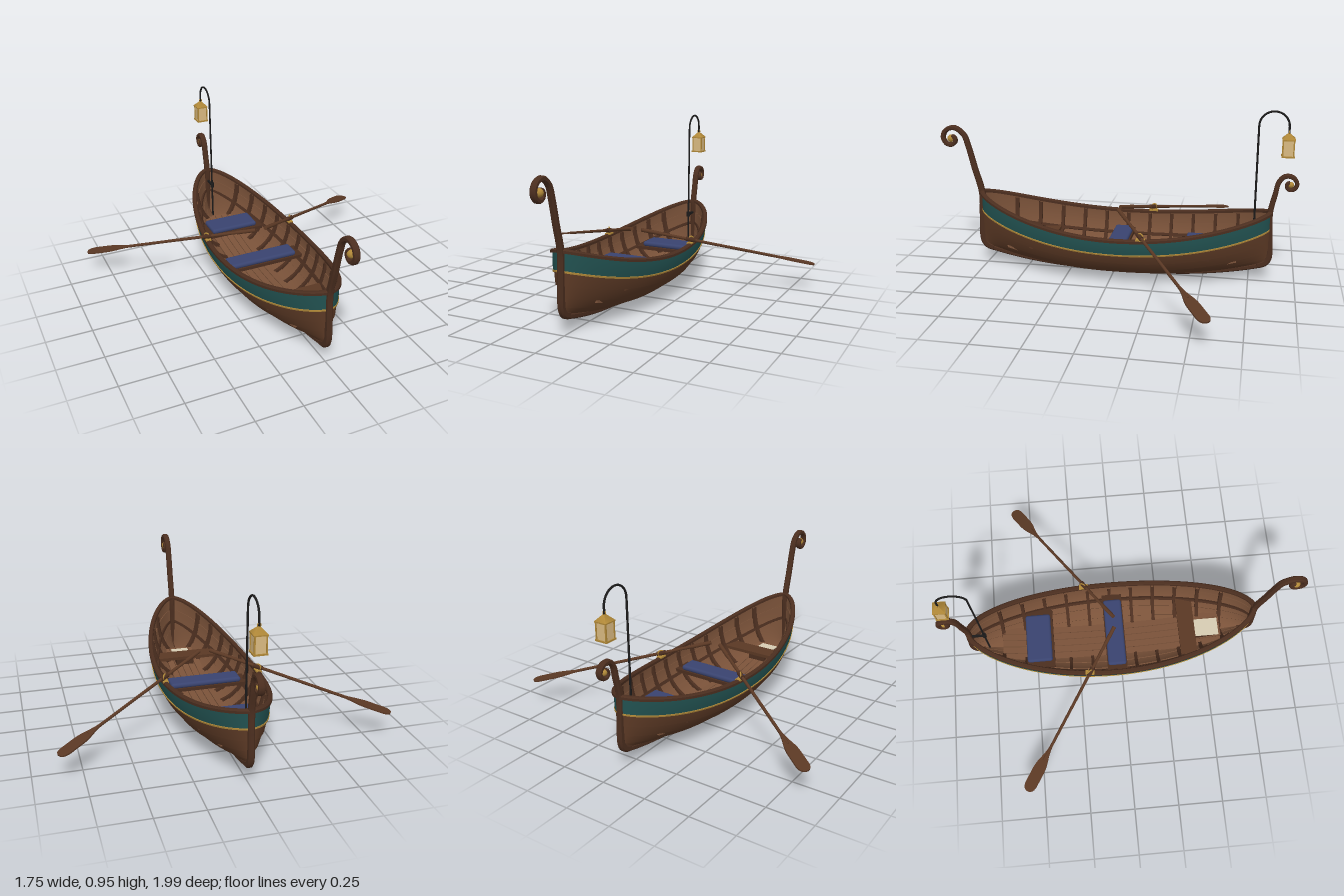
import * as THREE from 'three';
import { toCreasedNormals } from 'three/addons/utils/BufferGeometryUtils.js';
import { RoundedBoxGeometry } from 'three/addons/geometries/RoundedBoxGeometry.js';

const mat = (name, color, side = THREE.DoubleSide) => {
  const m = new THREE.MeshStandardMaterial({ color, side });
  m.name = name;
  return m;
};

// Hull rules: t runs -1 (stern) to 1 (bow), a is the girth angle from keel (0) to rail (PI/2)
const HALF = Math.PI / 2, BAND = 1.245, BEAM = 0.268;
const zAt = t => -0.045 + 0.81 * t;
const tAt = z => (z + 0.045) / 0.81;
const beam = t => BEAM * Math.pow(Math.max(0, 1 - t * t), 0.6);
const keelY = t => 0.028 + 0.09 * Math.pow(Math.abs(t), 2.5);
const sheerY = t => 0.275 + (t > 0 ? 0.15 : 0.12) * t * t;
function hullPoint(t, a, off, side) {
  const q = 0.9 + 0.6 * Math.pow(Math.abs(t), 3);
  const x = Math.max(0, beam(t) * Math.pow(Math.sin(a), q) + off * Math.sin(a));
  const y = keelY(t) + (sheerY(t) - keelY(t)) * (1 - Math.cos(a)) - off * Math.cos(a);
  return [side * x, y, zAt(t)];
}

// Surface through a grid of points; faces look along (v direction) x (u direction)
function grid(nu, nv, fn, flip = false, crease = 0.6) {
  const pos = [], idx = [];
  for (let i = 0; i <= nu; i++) for (let j = 0; j <= nv; j++) pos.push(...fn(i, j));
  for (let i = 0; i < nu; i++) for (let j = 0; j < nv; j++) {
    const p = i * (nv + 1) + j, u = p + nv + 1;
    if (flip) idx.push(p, u, p + 1, p + 1, u, u + 1);
    else idx.push(p, p + 1, u, p + 1, u + 1, u);
  }
  const g = new THREE.BufferGeometry();
  g.setAttribute('position', new THREE.Float32BufferAttribute(pos, 3));
  g.setIndex(idx);
  return toCreasedNormals(g, crease);
}

// Chamfered bar swept along a path in the x = 0 plane; points are [z, y]
function sweep(points, halfW, r0, r1, n) {
  const curve = new THREE.CatmullRomCurve3(points.map(([z, y]) => new THREE.Vector3(0, y, z)), false, 'centripetal');
  const sec = [[1, 0.55], [0.55, 1], [-0.55, 1], [-1, 0.55], [-1, -0.55], [-0.55, -1], [0.55, -1], [1, -0.55], [1, 0.55]];
  return grid(n, 8, (i, j) => {
    const u = i / n, p = curve.getPointAt(u), d = curve.getTangentAt(u);
    const end = i === 0 || i === n ? 0.01 : 1;
    const r = (r0 + (r1 - r0) * u) * end, s = sec[j];
    return [s[0] * halfW * end, p.y + d.z * s[1] * r, p.z - d.y * s[1] * r];
  });
}

export function createModel() {
  const root = new THREE.Group();
  root.name = 'rowingBoat';
  const M = {
    hull: mat('dark hull wood', 0x5a3824),
    inner: mat('inner wood', 0x7a5239),
    trim: mat('trim wood', 0x4b2e1f),
    teal: mat('teal paint', 0x21504f),
    gold: mat('brass', 0xb08838),
    navy: mat('navy cloth', 0x39436f),
    iron: mat('black iron', 0x1b1a1a),
    cream: mat('parchment', 0xd6ccb2),
    glass: mat('lantern glass', 0xd9b981),
  };
  const add = (name, geo, m, x = 0, y = 0, z = 0, parent = root) => {
    const mesh = new THREE.Mesh(geo, m);
    mesh.name = name;
    mesh.position.set(x, y, z);
    parent.add(mesh);
    return mesh;
  };
  const box = (name, w, h, d, m, x, y, z, parent) => add(name, new THREE.BoxGeometry(w, h, d), m, x, y, z, parent);

  const N = 56;
  const tStep = i => Math.sin((i / N * 2 - 1) * HALF);
  for (const s of [1, -1]) {
    const flip = s < 0;
    // Overlapping planks, outside and inside
    const plank = (name, a0, a1, base, lap, m, inside) => add(name, grid(N, 6, (i, j) => {
      const f = j === 0 ? 0 : (j - 1) / 5;
      const off = j === 0 ? base : base + lap * (1 - f);
      return hullPoint(tStep(i), a0 + (a1 - a0) * f, off, s);
    }, inside ? !flip : flip), m);
    for (let k = 0; k < 5; k++)
      plank('hullPlank', BAND * k / 5, BAND * (k + 1) / 5, 0, 0.007, M.hull, false);
    plank('paintedTopPlank', BAND, HALF, 0, 0.006, M.teal, false);
    for (let k = 0; k < 6; k++)
      plank('innerPlank', HALF * k / 6, HALF * (k + 1) / 6, -0.012, 0.005, M.inner, true);

    // Long strips that follow the hull: brass line and inner seat rail
    const strip = (name, a, o0, o1, w, m) => add(name, grid(N, 4, (i, j) => {
      const c = [[-1, o0], [-1, o1], [1, o1], [1, o0], [-1, o0]][j];
      return hullPoint(tStep(i), a + c[0] * w, c[1], s);
    }, flip), m);
    strip('brassLine', BAND, 0.002, 0.010, 0.016, M.gold);
    strip('seatRail', 1.02, -0.006, -0.022, 0.035, M.trim);

    // Rail along the top edge
    add('gunwale', grid(N, 6, (i, j) => {
      const c = [[1, -0.6], [1, 0.5], [0.5, 1], [-0.6, 1], [-1, 0.5], [-1, -0.6], [1, -0.6]][j];
      const t = tStep(i), nx = Math.sqrt(1 - t * t) / BEAM, nz = t / 0.81, l = Math.hypot(nx, nz);
      const o = c[0] * 0.013 - 0.002;
      return [s * Math.max(0, beam(t) + o * nx / l), sheerY(t) + c[1] * 0.012, zAt(t) + o * nz / l];
    }, flip), M.trim);

    // Ribs
    for (let k = 0; k < 11; k++) {
      const z = -0.68 + k * 0.128;
      add('rib', grid(14, 3, (i, j) => {
        const t = tAt(z + (j < 2 ? -0.009 : 0.009));
        return hullPoint(t, 0.12 + (HALF - 0.15) * i / 14, j === 0 || j === 3 ? -0.006 : -0.025, s);
      }, flip), M.trim);
    }
  }

  // Keel, bow and stern posts with scrolls
  const keel = [];
  for (let k = 0; k <= 20; k++) {
    const t = (k / 10 - 1) * 0.98;
    keel.push([zAt(t), keelY(t) - 0.014]);
  }
  add('keel', sweep(keel, 0.013, 0.014, 0.014, 50), M.trim);
  add('bowPost', sweep([[0.70, 0.092], [0.745, 0.108], [0.766, 0.14], [0.768, 0.28], [0.767, 0.42], [0.803, 0.56],
    [0.836, 0.69], [0.86, 0.755], [0.915, 0.792], [0.965, 0.775], [0.982, 0.735], [0.966, 0.702],
    [0.935, 0.693], [0.912, 0.712], [0.918, 0.738], [0.938, 0.742]], 0.016, 0.020, 0.011, 110), M.trim);
  add('sternPost', sweep([[-0.79, 0.092], [-0.835, 0.108], [-0.855, 0.14], [-0.855, 0.28], [-0.852, 0.40], [-0.872, 0.50],
    [-0.888, 0.57], [-0.918, 0.602], [-0.957, 0.60], [-0.982, 0.568], [-0.972, 0.538],
    [-0.946, 0.53], [-0.928, 0.548], [-0.936, 0.566], [-0.95, 0.568]], 0.016, 0.019, 0.009, 100), M.trim);
  add('bowScrollBall', new THREE.SphereGeometry(0.021, 16, 12), M.gold, 0, 0.73, 0.936);
  add('sternScrollBall', new THREE.SphereGeometry(0.016, 16, 12), M.gold, 0, 0.558, -0.95);

  // Floor boards bent along the keel line
  for (let k = -2; k <= 2; k++) {
    const g = new THREE.BoxGeometry(0.036, 0.012, 1.28, 1, 1, 24), p = g.attributes.position;
    for (let i = 0; i < p.count; i++) {
      const z = p.getZ(i) - 0.045, t = tAt(z);
      p.setXYZ(i, p.getX(i) + k * 0.04, p.getY(i) + keelY(t) + 0.032 + 0.05 * t * t, z);
    }
    g.computeVertexNormals();
    add('floorBoard', toCreasedNormals(g, 0.6), M.inner);
  }

  // Seats and cushions
  box('backSeat', 0.35, 0.018, 0.16, M.trim, 0, 0.172, -0.465);
  box('middleSeat', 0.49, 0.018, 0.115, M.trim, 0, 0.172, -0.027);
  box('frontSeat', 0.355, 0.018, 0.095, M.hull, 0, 0.178, 0.395);
  add('backCushion', new RoundedBoxGeometry(0.285, 0.03, 0.145, 3, 0.014), M.navy, 0, 0.194, -0.47);
  add('middleCushion', new RoundedBoxGeometry(0.40, 0.03, 0.105, 3, 0.014), M.navy, 0, 0.194, -0.027);

  // Small chest with a parchment under the front seat
  box('chest', 0.105, 0.035, 0.18, M.trim, 0, 0.122, 0.51);
  box('parchment', 0.104, 0.004, 0.15, M.cream, 0, 0.143, 0.51);

  // Oars and oarlocks
  const blade = new THREE.Shape();
  blade.moveTo(0.76, 0.008);
  blade.bezierCurveTo(0.82, 0.012, 0.84, 0.032, 0.90, 0.034);
  blade.lineTo(0.99, 0.034);
  blade.quadraticCurveTo(1.03, 0.030, 1.03, 0);
  blade.quadraticCurveTo(1.03, -0.030, 0.99, -0.034);
  blade.lineTo(0.90, -0.034);
  blade.bezierCurveTo(0.84, -0.032, 0.82, -0.012, 0.76, -0.008);
  const bladeGeo = new THREE.ExtrudeGeometry(blade, { depth: 0.008, bevelEnabled: false, curveSegments: 8 });
  bladeGeo.translate(0, 0, -0.004).rotateX(HALF);
  for (const s of [1, -1]) {
    const oar = new THREE.Group();
    oar.name = s > 0 ? 'leftOar' : 'rightOar';
    const dir = new THREE.Vector3(s * 0.835, -0.228, -0.555).normalize();
    const side = new THREE.Vector3().crossVectors(dir, new THREE.Vector3(0, 1, 0)).normalize();
    const up = new THREE.Vector3().crossVectors(side, dir);
    oar.quaternion.setFromRotationMatrix(new THREE.Matrix4().makeBasis(dir, up, side));
    oar.position.set(s * 0.03, 0.372, -0.03);
    root.add(oar);
    add('shaft', new THREE.CylinderGeometry(0.008, 0.009, 0.84, 12).rotateZ(-HALF), M.hull, 0.42, 0, 0, oar);
    add('grip', new THREE.CylinderGeometry(0.011, 0.011, 0.11, 12).rotateZ(-HALF), M.hull, 0.055, 0, 0, oar);
    add('collar', new THREE.CylinderGeometry(0.013, 0.013, 0.05, 12).rotateZ(-HALF), M.trim, 0.285, 0, 0, oar);
    add('blade', bladeGeo, M.hull, 0, 0, 0, oar);
    box('oarlockPlate', 0.03, 0.008, 0.05, M.gold, s * 0.26, 0.290, -0.188);
    const ring = add('oarlockRing', new THREE.TorusGeometry(0.017, 0.004, 8, 20), M.gold, s * 0.262, 0.309, -0.188);
    ring.rotation.y = s * 0.98;
  }

  // Lantern pole with hook
  const pole = new THREE.CurvePath();
  const V = (y, z) => new THREE.Vector3(0, y, z);
  const arc = [];
  for (let k = 0; k <= 12; k++) {
    const a = Math.PI * k / 12;
    arc.push(V(0.870 + 0.078 * Math.sin(a), -0.847 + 0.078 * Math.cos(a)));
  }
  pole.add(new THREE.LineCurve3(V(0.11, -0.769), V(0.870, -0.769)));
  pole.add(new THREE.CatmullRomCurve3(arc));
  pole.add(new THREE.LineCurve3(V(0.870, -0.925), V(0.835, -0.925)));
  add('lanternPole', new THREE.TubeGeometry(pole, 120, 0.0055, 8), M.iron);
  add('poleCollar', new THREE.CylinderGeometry(0.012, 0.012, 0.03, 12), M.iron, 0, 0.325, -0.769);
  box('poleBracket', 0.012, 0.012, 0.08, M.iron, 0, 0.325, -0.81);

  // Lantern
  const lantern = new THREE.Group();
  lantern.name = 'lantern';
  lantern.position.set(0, 0, -0.925);
  root.add(lantern);
  box('glass', 0.056, 0.086, 0.056, M.glass, 0, 0.758, 0, lantern);
  box('base', 0.068, 0.008, 0.068, M.gold, 0, 0.714, 0, lantern);
  box('eaves', 0.068, 0.006, 0.068, M.gold, 0, 0.803, 0, lantern);
  add('roof', new THREE.ConeGeometry(0.048, 0.036, 4).rotateY(Math.PI / 4).toNonIndexed(), M.gold, 0, 0.823, 0, lantern);
  add('topRing', new THREE.TorusGeometry(0.008, 0.003, 6, 14), M.gold, 0, 0.842, 0, lantern);
  for (const x of [-1, 1]) for (const z of [-1, 1])
    box('cornerPost', 0.007, 0.09, 0.007, M.gold, x * 0.028, 0.758, z * 0.028, lantern);

  return root;
}
